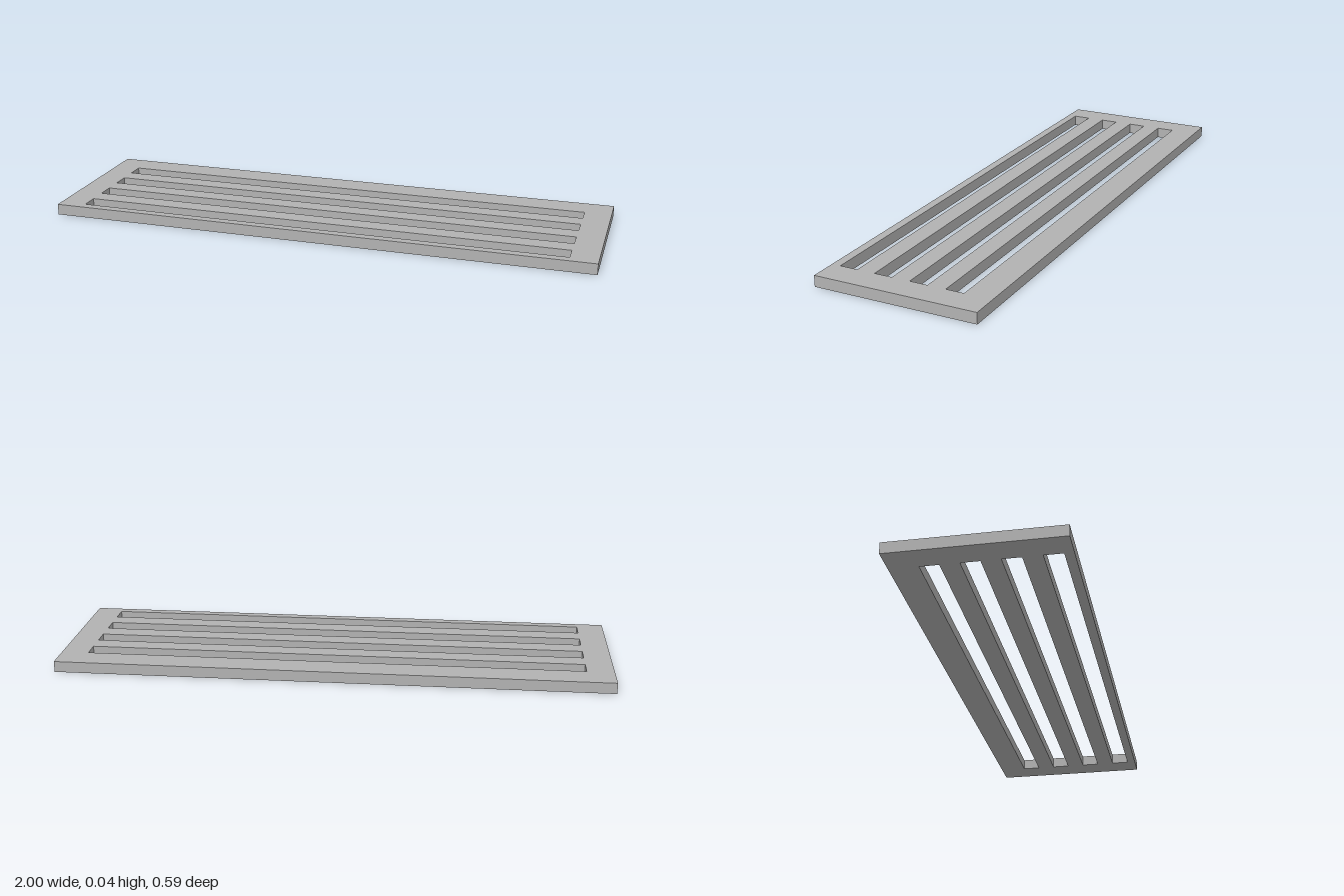
import * as THREE from 'three';

const HALF_X = 1, HALF_Z = 0.295, HEIGHT = 0.04;
const SLOT_HALF_X = 0.902, SLOT_WIDTH = 0.065, SLOT_PITCH = 0.131, FIRST_SLOT = -0.195;

// Trace a rectangle lying in the plan (x, z)
function rectangle(path, x, z0, z1) {
  path.moveTo(-x, z0);
  path.lineTo(x, z0);
  path.lineTo(x, z1);
  path.lineTo(-x, z1);
  path.closePath();
  return path;
}

export function createModel() {
  const group = new THREE.Group();
  group.name = 'slottedGrate';
  const material = new THREE.MeshStandardMaterial({ color: 0xb2b2b2 });
  material.name = 'grey';

  // Flat plate with four long through slots, set nearer the front edge
  const plan = rectangle(new THREE.Shape(), HALF_X, -HALF_Z, HALF_Z);
  for (let i = 0; i < 4; i++) {
    const z = FIRST_SLOT + i * SLOT_PITCH;
    plan.holes.push(rectangle(new THREE.Path(), SLOT_HALF_X, z, z + SLOT_WIDTH));
  }

  // Lay the plan flat so its y becomes z
  const geometry = new THREE.ExtrudeGeometry(plan, { depth: HEIGHT, bevelEnabled: false });
  geometry.rotateX(Math.PI / 2).translate(0, HEIGHT, 0);

  const plate = new THREE.Mesh(geometry, material);
  plate.name = 'slottedPlate';
  group.add(plate);
  return group;
}
